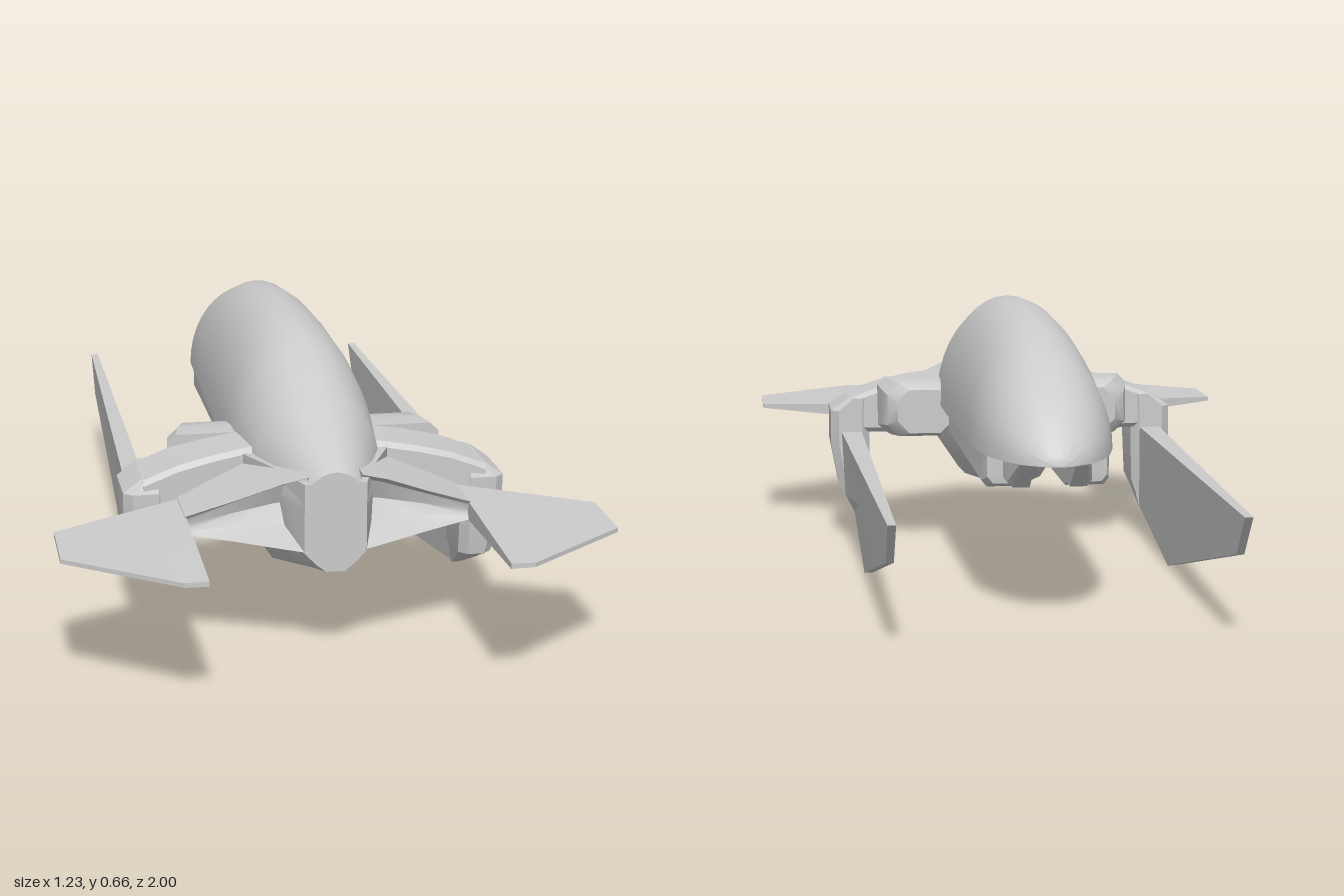
import * as THREE from 'three';
import { toCreasedNormals } from 'three/addons/utils/BufferGeometryUtils.js';

const material = new THREE.MeshStandardMaterial({ color: 0xcccccc });

// Closed solid through rings of [x, y, z] points, wound outward by its signed volume
function loft(name, rings, crease = 0.5) {
  const n = rings[0].length, pos = rings.flat(2), idx = [];
  for (let r = 0; r < rings.length - 1; r++) {
    for (let i = 0; i < n; i++) {
      const a = r * n + i, b = r * n + (i + 1) % n;
      idx.push(a, b, b + n, a, b + n, a + n);
    }
  }
  [0, rings.length - 1].forEach((r, end) => {
    const c = pos.length / 3;
    for (let k = 0; k < 3; k++) pos.push(rings[r].reduce((s, p) => s + p[k], 0) / n);
    for (let i = 0; i < n; i++) {
      const a = r * n + i, b = r * n + (i + 1) % n;
      idx.push(...(end ? [a, b, c] : [b, a, c]));
    }
  });
  const v = i => new THREE.Vector3().fromArray(pos, i * 3);
  let volume = 0;
  for (let i = 0; i < idx.length; i += 3) volume += v(idx[i]).dot(v(idx[i + 1]).cross(v(idx[i + 2])));
  if (volume < 0) idx.reverse();
  const g = new THREE.BufferGeometry();
  g.setAttribute('position', new THREE.Float32BufferAttribute(pos, 3));
  g.setIndex(idx);
  const mesh = new THREE.Mesh(toCreasedNormals(g, crease), material);
  mesh.name = name;
  return mesh;
}

// Rectangle with cut corners as [u, v] pairs
function cutRect(u0, u1, v0, v1, c) {
  return [[u0 + c, v0], [u1 - c, v0], [u1, v0 + c], [u1, v1 - c],
    [u1 - c, v1], [u0 + c, v1], [u0, v1 - c], [u0, v0 + c]];
}

// Domed upper hull: half ellipses on a flat floor; rows are z, top y, half width
function upperHull() {
  const rows = [
    [0.71, 0.445, 0.07], [0.6, 0.493, 0.108], [0.47, 0.55, 0.15], [0.3, 0.618, 0.17],
    [0.18, 0.648, 0.171], [0, 0.656, 0.169], [-0.2, 0.65, 0.165], [-0.4, 0.625, 0.16],
    [-0.56, 0.575, 0.155], [-0.65, 0.53, 0.135], [-0.72, 0.48, 0.108],
    [-0.77, 0.43, 0.075], [-0.8, 0.39, 0.035], [-0.81, 0.373, 0.008],
  ];
  const floor = 0.367;
  return loft('upperHull', rows.map(([z, top, w]) => Array.from({ length: 21 }, (_, i) => {
    const a = i / 20 * Math.PI;
    return [w * Math.cos(a), floor + (top - floor) * Math.sin(a), z];
  })), 0.7);
}

// Nose and belly tapering to a point under the tail; rows are z, half width, shoulder y, keel y
function belly() {
  const rows = [
    [0.71, 0.07, 0.26, 0.213], [0.6, 0.105, 0.263, 0.185], [0.46, 0.168, 0.265, 0.147],
    [0.3, 0.162, 0.265, 0.153], [0.1, 0.125, 0.27, 0.175], [-0.1, 0.075, 0.278, 0.215],
    [-0.3, 0.015, 0.286, 0.27],
  ];
  return loft('noseAndBelly', rows.map(([z, w, s, k]) => {
    const half = [[w, 0.42], [w, s], [w * 0.6, k + 0.018], [w * 0.3, k + 0.002]];
    const top = z < 0.4 ? 0.39 : 0.42;
    const side = half.map(([x, y]) => [x, Math.min(y, top), z]);
    return [...side, ...side.map(([x, y]) => [-x, y, z]).reverse()];
  }), 0.6);
}

function sideParts(s) {
  const group = new THREE.Group();
  group.name = s > 0 ? 'leftSide' : 'rightSide';
  const add = (name, rings, crease) =>
    group.add(loft(name, rings.map(r => r.map(([x, y, z]) => [s * x, y, z])), crease));

  // Wing root with a scooped front; rows are x, lip z, scoop z, rear z, bottom y, top y
  add('wingRoot', [
    [0.06, 0.712, 0.6, 0.4, 0.262, 0.437],
    [0.12, 0.694, 0.595, 0.43, 0.269, 0.418],
    [0.22, 0.662, 0.605, 0.46, 0.281, 0.375],
    [0.325, 0.63, 0.622, 0.49, 0.292, 0.334],
  ].map(([x, lip, scoop, rear, b, t]) => [
    [x, t, lip], [x, t - 0.2 * (t - b), scoop + 0.2 * (lip - scoop)], [x, (t + b) / 2, scoop],
    [x, b + 0.2 * (t - b), scoop + 0.2 * (lip - scoop)], [x, b, lip], [x, b, rear], [x, t, rear],
  ]), 0.6);

  // Swept front fin; outline rows are x, z, half thickness
  const fin = [[0.322, 0.49, 0.02], [0.616, 0.63, 0.005], [0.616, 0.81, 0.005],
    [0.375, 1, 0.005], [0.322, 1, 0.006], [0.322, 0.63, 0.021]];
  add('frontFin', [-1, 1].map(d => fin.map(([x, z, h]) => [x, 0.311 + d * h, z])), 0.2);

  // Arm carrying the blade; rows are x, bottom y, top y, front z
  add('arm', [
    [0.1, 0.27, 0.432, 0.445], [0.16, 0.275, 0.43, 0.455], [0.24, 0.28, 0.418, 0.465],
    [0.32, 0.283, 0.4, 0.472], [0.4, 0.285, 0.37, 0.475],
  ].map(([x, b, t, f]) => cutRect(0.302, f, b, t, 0.012).map(([z, y]) => [x, y, z])), 0.6);

  // Pod at the arm's end, narrowing down to the blade; rows are y, x0, x1, front z, corner cut
  add('armPod', [
    [0.372, 0.35, 0.4, 0.465, 0.012], [0.34, 0.345, 0.445, 0.478, 0.02],
    [0.25, 0.345, 0.445, 0.476, 0.02], [0.145, 0.347, 0.425, 0.458, 0.02],
    [0.11, 0.358, 0.41, 0.385, 0.012], [0.073, 0.365, 0.387, 0.308, 0.002],
  ].map(([y, x0, x1, f, c]) => cutRect(x0, x1, 0.298, f, c).map(([x, z]) => [x, y, z])), 0.3);

  // Long lower blade; outline rows are y, z, outer x
  const blade = [[0.285, 0.3, 0.418], [0.12, 0.3, 0.41], [0.075, 0.3, 0.387], [0, -0.12, 0.385],
    [0.19, -0.92, 0.383], [0.285, -1, 0.384], [0.285, 0, 0.41]];
  add('blade', [
    blade.map(([y, z]) => [0.366, y, z]),
    blade.map(([y, z, x]) => [x, y, z]),
  ], 0.35);

  // Rear engine housing behind the arm; rows are z, x1, bottom y, top y, corner cut
  add('engineHousing', [
    [0.31, 0.325, 0.285, 0.428, 0.02], [0.25, 0.318, 0.285, 0.428, 0.025],
    [0.2, 0.305, 0.287, 0.424, 0.03], [0.178, 0.28, 0.297, 0.408, 0.03],
  ].map(([z, x1, b, t, c]) => cutRect(0.14, x1, b, t, c).map(([x, y]) => [x, y, z])), 0.6);

  // Underside rail ending in a wedge; rows are z, x0, x1, bottom y
  add('undersideRail', [
    [0.3, 0.045, 0.15, 0.287], [-0.57, 0.045, 0.145, 0.287], [-0.605, 0.045, 0.135, 0.3],
    [-0.61, 0.045, 0.1, 0.3], [-0.65, 0.045, 0.095, 0.297], [-0.745, 0.045, 0.075, 0.366],
  ].map(([z, x0, x1, b]) => [[x0, b, z], [x1 - 0.012, b, z], [x1, Math.min(b + 0.015, 0.37), z],
    [x1, 0.372, z], [x0, 0.372, z]]), 0.3);

  return group;
}

export function createModel() {
  const model = new THREE.Group();
  model.name = 'spacecraft';
  model.add(upperHull(), belly(), sideParts(1), sideParts(-1));
  return model;
}
